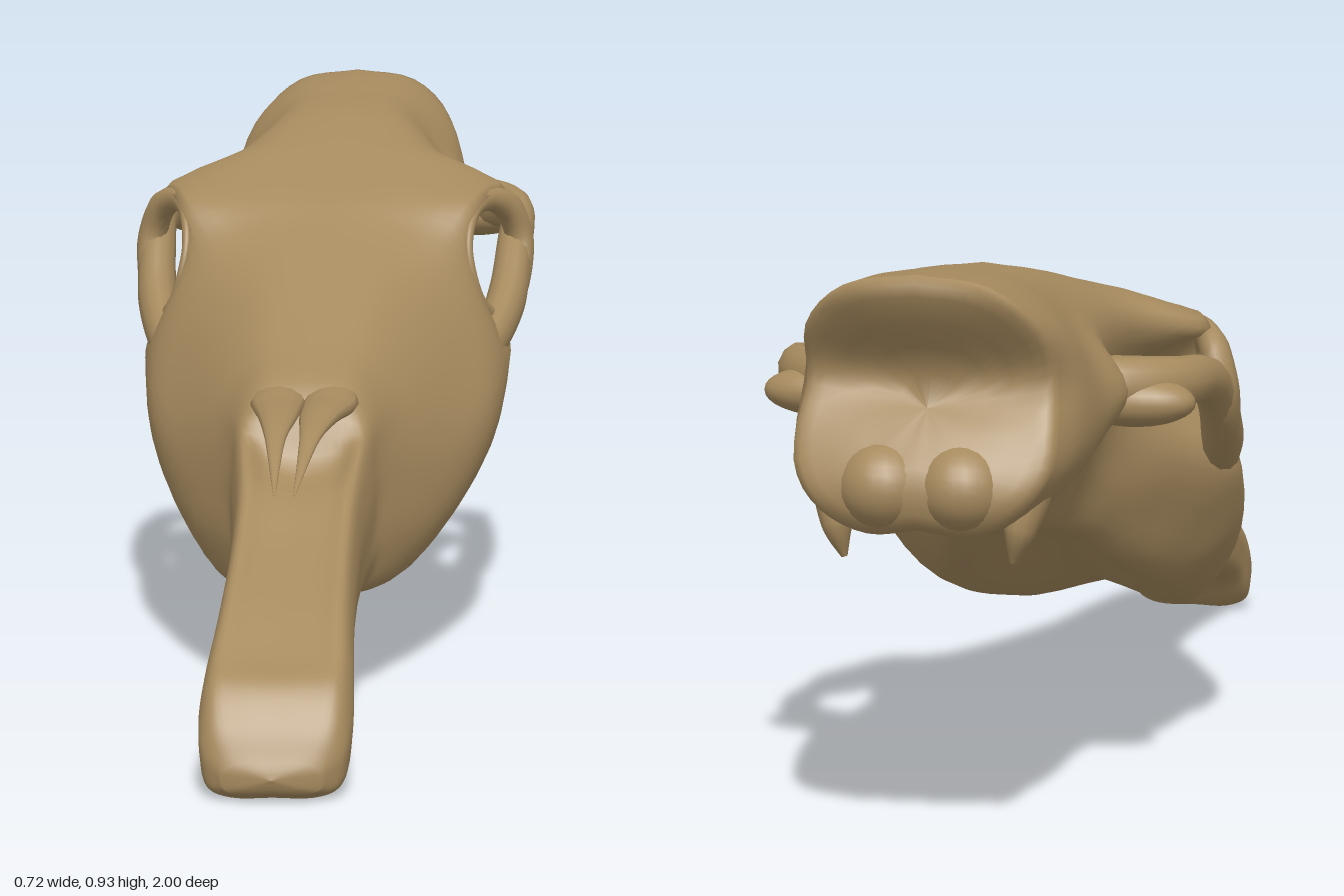
import * as THREE from 'three';
import { mergeVertices } from 'three/addons/utils/BufferGeometryUtils.js';

const bone = new THREE.MeshStandardMaterial({ color: 0xa68a5e, side: THREE.DoubleSide });
bone.name = 'bone';

const V = (x, y, z) => new THREE.Vector3(x, y, z);
const lerp = THREE.MathUtils.lerp;
// the skull's midline drifts slightly sideways from muzzle to crest
const midX = (z) => -0.02 - 0.065 * z;

// muzzle sections: z, half width, top, bottom, depth of the upper trough
const muzzle = [
  [0.99, 0.075, 0.06, 0.012, 0], [0.965, 0.105, 0.11, 0.0, 0], [0.92, 0.115, 0.165, 0.008, 0],
  [0.86, 0.113, 0.2, 0.07, 0.01], [0.75, 0.106, 0.26, 0.11, 0.015], [0.6, 0.102, 0.33, 0.15, 0.018],
  [0.5, 0.104, 0.385, 0.172, 0.022], [0.41, 0.114, 0.44, 0.185, 0.045],
];
// face and braincase: z, top y, six (half x, y) points down the side, bottom y
const face = [
  [0.345, 0.512, 0.07, 0.508, 0.11, 0.47, 0.124, 0.41, 0.132, 0.34, 0.135, 0.26, 0.11, 0.185, 0.2],
  [0.2, 0.575, 0.08, 0.56, 0.14, 0.51, 0.185, 0.43, 0.205, 0.34, 0.2, 0.25, 0.15, 0.183, 0.215],
  [0, 0.67, 0.1, 0.655, 0.18, 0.6, 0.25, 0.5, 0.29, 0.41, 0.27, 0.31, 0.185, 0.23, 0.3],
  [-0.13, 0.735, 0.13, 0.72, 0.22, 0.69, 0.275, 0.6, 0.318, 0.47, 0.285, 0.36, 0.185, 0.28, 0.37],
  [-0.2, 0.77, 0.16, 0.768, 0.262, 0.753, 0.215, 0.66, 0.318, 0.52, 0.255, 0.4, 0.17, 0.315, 0.4],
  [-0.28, 0.802, 0.17, 0.8, 0.288, 0.768, 0.19, 0.68, 0.25, 0.55, 0.2, 0.44, 0.14, 0.36, 0.42],
];
const braincase = [
  [-0.36, 0.835, 0.17, 0.826, 0.308, 0.765, 0.185, 0.7, 0.18, 0.58, 0.16, 0.48, 0.11, 0.41, 0.45],
  [-0.44, 0.862, 0.14, 0.845, 0.215, 0.79, 0.175, 0.7, 0.155, 0.6, 0.125, 0.51, 0.08, 0.44, 0.465],
  [-0.56, 0.892, 0.11, 0.874, 0.175, 0.81, 0.185, 0.71, 0.165, 0.62, 0.12, 0.53, 0.07, 0.462, 0.475],
  [-0.66, 0.905, 0.1, 0.888, 0.175, 0.81, 0.25, 0.715, 0.2, 0.63, 0.135, 0.545, 0.075, 0.48, 0.485],
  [-0.74, 0.913, 0.1, 0.895, 0.185, 0.815, 0.23, 0.72, 0.215, 0.63, 0.155, 0.56, 0.08, 0.503, 0.505],
  [-0.83, 0.926, 0.11, 0.907, 0.19, 0.835, 0.215, 0.74, 0.215, 0.64, 0.17, 0.57, 0.09, 0.525, 0.53],
  [-0.9, 0.93, 0.11, 0.912, 0.18, 0.845, 0.19, 0.75, 0.195, 0.64, 0.15, 0.57, 0.08, 0.535, 0.545],
];

// half outline of one section, from top centre to bottom centre
function muzzlePoints([z, w, top, bot, dip]) {
  const at = (t) => lerp(bot, top, t);
  return [V(0, top - dip, z), V(w * 0.5, top - dip * 0.7, z), V(w * 0.84, top - 0.005, z), V(w, at(0.7), z),
    V(w, at(0.4), z), V(w * 0.92, at(0.12), z), V(w * 0.6, bot, z), V(0, bot + dip * 0.5, z)];
}
function facePoints(s) {
  const pts = [V(0, s[1], s[0])];
  for (let i = 2; i < 14; i += 2) pts.push(V(s[i], s[i + 1], s[0]));
  return [...pts, V(0, s[14], s[0])];
}

// how far the back of the skull leans out (crest, neck joint) or in (nape)
const nape = new THREE.CatmullRomCurve3([V(0.5, -0.03, 0), V(0.6, -0.08, 0), V(0.68, -0.035, 0),
  V(0.76, 0.03, 0), V(0.85, -0.035, 0), V(0.9, -0.065, 0), V(0.94, -0.06, 0)]).getPoints(40);
function napeLean(y) {
  const i = Math.min(Math.max(nape.findIndex((p) => p.x > y), 1), 40);
  const a = nape[i - 1], b = nape[i];
  return lerp(a.y, b.y, THREE.MathUtils.clamp((y - a.x) / (b.x - a.x), 0, 1));
}

// main skull: smooth loft through all sections, closed at both ends
function skullGeometry() {
  const half = 28, cols = half * 2, steps = 5;
  const outlines = [...muzzle.map(muzzlePoints), ...[...face, ...braincase].map(facePoints)]
    .map((p) => new THREE.CatmullRomCurve3(p).getPoints(half));
  const lines = [];
  for (let j = 0; j <= half; j++) {
    lines.push(new THREE.CatmullRomCurve3(outlines.map((o) => o[j])).getPoints((outlines.length - 1) * steps));
  }
  let rows = lines[0].map((_, i) => {
    const ring = [];
    for (let j = 0; j < cols; j++) {
      const p = lines[j <= half ? j : cols - j][i];
      ring.push(V(j <= half ? p.x : -p.x, p.y, p.z));
    }
    return ring;
  });
  const cap = (ring, centre, k, z) => ring.map((p) => p.clone().lerp(centre, k).setZ(z));
  const first = rows[0], last = rows[rows.length - 1];
  rows = [
    ...[1, 0.7, 0.35].map((k) => cap(first, V(0, 0.035, 0), k, 0.992 + 0.008 * k)), ...rows,
    ...[0.06, 0.15, 0.35, 0.55, 0.78, 1].map((k) => cap(last, V(0, 0.72, 0), k, -0.905)),
  ];
  const pos = [], index = [];
  for (const ring of rows) for (const p of ring) {
    const k = THREE.MathUtils.smoothstep(-p.z, 0.74, 0.9) * (1 - 11 * p.x * p.x);
    const z = p.z + k * napeLean(p.y);
    pos.push(p.x + midX(z), p.y, z);
  }
  for (let i = 0; i < rows.length - 1; i++) for (let j = 0; j < cols; j++) {
    const a = i * cols + j, b = i * cols + (j + 1) % cols;
    index.push(a, b, a + cols, b, b + cols, a + cols);
  }
  const g = new THREE.BufferGeometry();
  g.setAttribute('position', new THREE.Float32BufferAttribute(pos, 3));
  g.setIndex(index);
  g.computeVertexNormals();
  return g;
}

// tapered, optionally flattened bar through [x, y, z, radius] points
function barGeometry(points, side, flat = [1, 1, 1], closed = false) {
  const curve = new THREE.CatmullRomCurve3(
    points.map(([x, y, z]) => V(side * x + midX(z), y, z)), closed);
  const segs = 48, radial = 12, n = points.length;
  let g = new THREE.TubeGeometry(curve, segs, 1, radial, closed);
  const pos = g.attributes.position, v = V(0, 0, 0);
  for (let i = 0; i <= segs; i++) {
    const t = curve.getUtoTmapping(i / segs) * (closed ? n : n - 1);
    const k = Math.floor(t);
    const at = (q) => points[closed ? q % n : Math.min(q, n - 1)][3];
    const r = lerp(at(k), at(k + 1), t - k), c = curve.getPointAt(i / segs);
    for (let j = 0; j <= radial; j++) {
      const id = i * (radial + 1) + j;
      v.fromBufferAttribute(pos, id).sub(c).multiplyScalar(r).multiply(V(...flat)).add(c);
      pos.setXYZ(id, v.x, v.y, v.z);
    }
  }
  g.deleteAttribute('uv');
  g.deleteAttribute('normal');
  g = mergeVertices(g, 1e-5);
  g.computeVertexNormals();
  return g;
}

export function createModel() {
  const model = new THREE.Group();
  model.name = 'skull';
  const add = (name, geometry) => {
    const mesh = new THREE.Mesh(geometry, bone);
    mesh.name = name;
    model.add(mesh);
    return mesh;
  };
  add('cranium', skullGeometry());

  for (const [label, s] of [['left', 1], ['right', -1]]) {
    // pointed nasal bone overhanging the nose opening
    add(label + 'NasalBone', barGeometry([[0.045, 0.52, 0.25, 0.03], [0.043, 0.498, 0.36, 0.046],
      [0.033, 0.495, 0.48, 0.032], [0.027, 0.48, 0.6, 0.016], [0.015, 0.42, 0.76, 0.001]], s, [1, 0.45, 1]));
    // ring of bone around the eye socket
    add(label + 'EyeSocketRim', barGeometry([[0.257, 0.742, -0.21, 0.012], [0.282, 0.755, -0.29, 0.02],
      [0.315, 0.73, -0.35, 0.032], [0.333, 0.67, -0.365, 0.035], [0.325, 0.585, -0.3, 0.028],
      [0.298, 0.55, -0.22, 0.022], [0.268, 0.6, -0.15, 0.01], [0.248, 0.685, -0.155, 0.01]],
      s, [0.75, 1, 1], true));
    // cheek arch running back to the braincase
    add(label + 'CheekArch', barGeometry([[0.22, 0.46, -0.03, 0.03], [0.28, 0.515, -0.15, 0.04],
      [0.312, 0.58, -0.27, 0.044], [0.323, 0.665, -0.38, 0.04], [0.326, 0.705, -0.48, 0.038],
      [0.3, 0.712, -0.57, 0.044], [0.22, 0.715, -0.63, 0.05], [0.1, 0.715, -0.65, 0.04]], s, [0.8, 0.95, 1]));
    // jaw joint under the rear of the arch
    const joint = add(label + 'JawJoint', new THREE.SphereGeometry(1, 24, 16));
    joint.scale.set(0.1, 0.04, 0.05);
    joint.position.set(s * 0.245 + midX(-0.62), 0.69, -0.62);
    // rounded neck joint at the back
    const condyle = add(label + 'NeckJoint', new THREE.SphereGeometry(1, 24, 16));
    condyle.scale.set(0.075, 0.07, 0.08);
    condyle.position.set(s * 0.06 + midX(-0.92), 0.605, -0.917);
    // hook hanging below the neck joint
    add(label + 'RearHook', barGeometry([[0.14, 0.66, -0.85, 0.05], [0.148, 0.59, -0.88, 0.045],
      [0.14, 0.535, -0.9, 0.03], [0.13, 0.488, -0.9, 0.006]], s, [0.8, 1, 1]));
  }
  return model;
}
